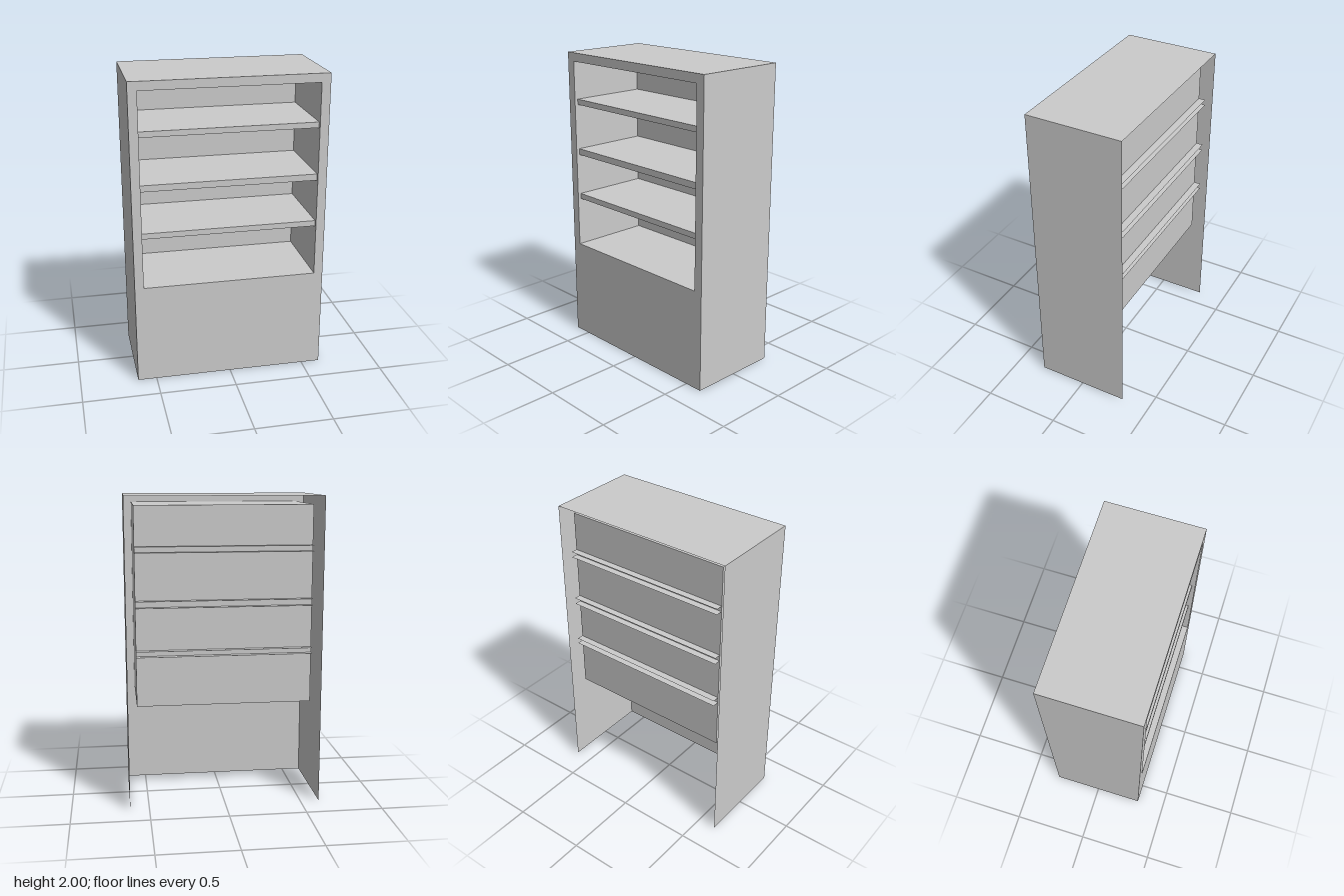
import * as THREE from 'three';

const material = new THREE.MeshStandardMaterial({ color: 0xcccccc, side: THREE.DoubleSide });

// Cabinet shell and niche dimensions
const W = 0.623, H = 2, D = 0.312;
const NW = 0.565, floorY = 0.667, ceilingY = 1.943, backZ = -0.24;

function add(parent, name, geometry) {
  const mesh = new THREE.Mesh(geometry, material);
  mesh.name = name;
  parent.add(mesh);
  return mesh;
}

// Thin sheets: facing z, facing y, facing x
function upright(parent, name, x0, x1, y0, y1, z) {
  add(parent, name, new THREE.PlaneGeometry(x1 - x0, y1 - y0))
    .position.set((x0 + x1) / 2, (y0 + y1) / 2, z);
}
function level(parent, name, halfWidth, z0, z1, y, up = true) {
  const g = new THREE.PlaneGeometry(halfWidth * 2, z1 - z0).rotateX(up ? -Math.PI / 2 : Math.PI / 2);
  add(parent, name, g).position.set(0, y, (z0 + z1) / 2);
}
function side(parent, name, x, y0, y1, z0, z1, facing) {
  const g = new THREE.PlaneGeometry(z1 - z0, y1 - y0).rotateY(facing * Math.PI / 2);
  add(parent, name, g).position.set(x, (y0 + y1) / 2, (z0 + z1) / 2);
}

function rectangle(Type, x, y0, y1) {
  return new Type([[-x, y0], [x, y0], [x, y1], [-x, y1]].map(p => new THREE.Vector2(...p)));
}

export function createModel() {
  const model = new THREE.Group();
  model.name = 'shelfCabinet';

  // Outer shell, open at the back and underneath
  const shell = new THREE.Group();
  shell.name = 'outerShell';
  model.add(shell);
  const face = rectangle(THREE.Shape, W, 0, H);
  face.holes.push(rectangle(THREE.Path, NW, floorY, ceilingY));
  add(shell, 'frontFrame', new THREE.ShapeGeometry(face)).position.z = D;
  level(shell, 'top', W, -D, D, H);

  // Niche lining set in from the front opening
  const niche = new THREE.Group();
  niche.name = 'niche';
  model.add(niche);
  level(niche, 'nicheFloor', NW, backZ, D, floorY);
  level(niche, 'nicheCeiling', NW, backZ, D, ceilingY, false);
  upright(niche, 'backPanel', -NW, NW, floorY, ceilingY, backZ);

  for (const [s, label] of [[1, 'left'], [-1, 'right']]) {
    side(shell, label + 'Side', s * W, 0, H, -D, D, s);
    side(niche, label + 'NicheWall', s * NW, floorY, ceilingY, backZ, D, -s);
  }

  // Hollow shelves, running slightly through the back panel
  const shelfFront = 0.29, shelfBack = -0.285;
  [[0.995, 1.032], [1.308, 1.35], [1.653, 1.69]].forEach(([y0, y1], i) => {
    const shelf = new THREE.Group();
    shelf.name = 'shelf' + (i + 1);
    model.add(shelf);
    level(shelf, 'shelfTop', NW, shelfBack, shelfFront, y1);
    level(shelf, 'shelfUnderside', NW, shelfBack, shelfFront, y0, false);
    upright(shelf, 'shelfFront', -NW, NW, y0, y1, shelfFront);
  });

  return model;
}
